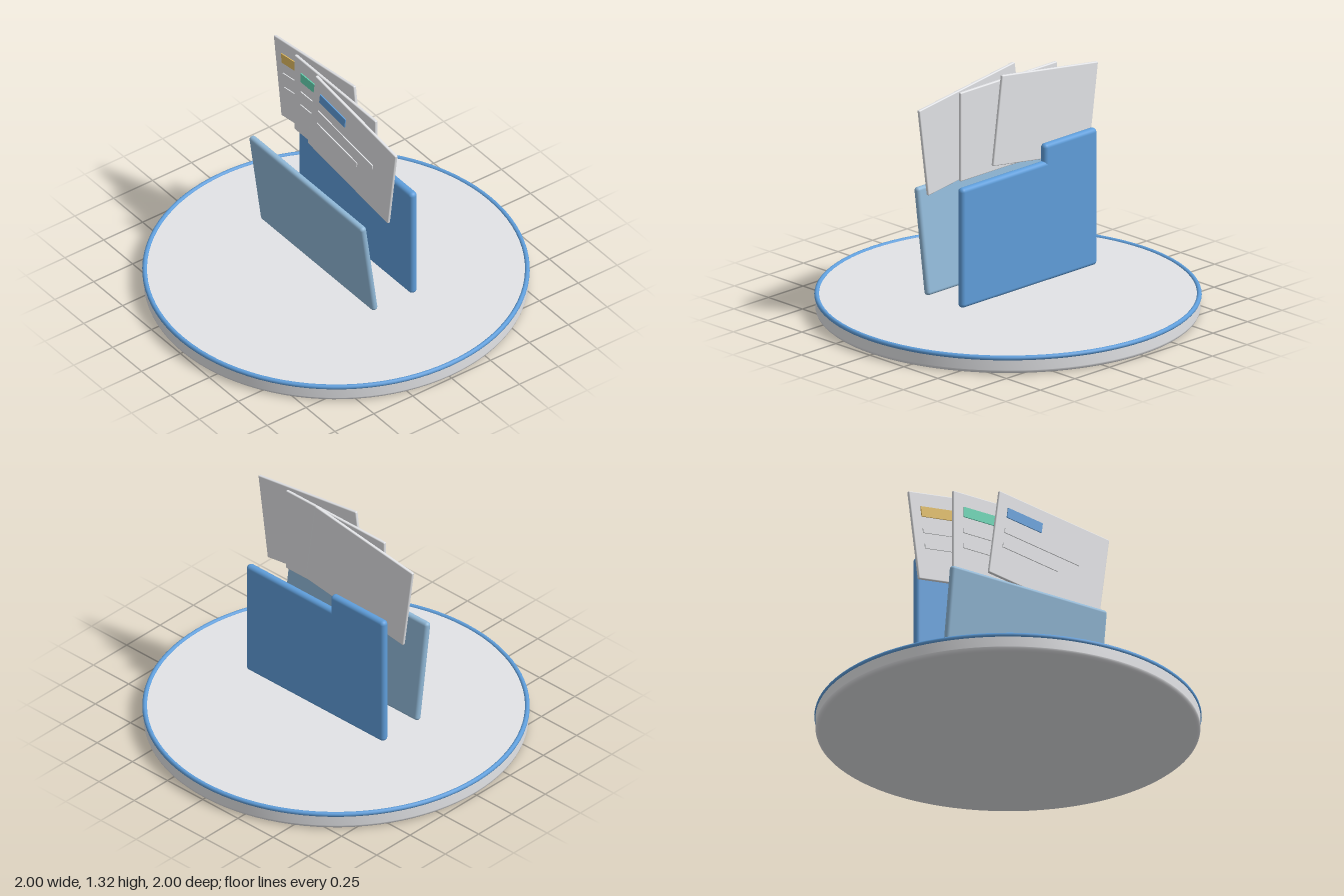
import * as THREE from 'three';
import { RoundedBoxGeometry } from 'three/addons/geometries/RoundedBoxGeometry.js';

const mat = (name, color) => {
  const m = new THREE.MeshStandardMaterial({ color });
  m.name = name;
  return m;
};

export function createModel() {
  const paper = mat('paperGrey', 0xe2e3e6);
  const blue = mat('folderBlue', 0x5f9edb);
  const paleBlue = mat('paleBlue', 0x91b9d8);
  const yellow = mat('labelYellow', 0xe3bd62);
  const green = mat('labelGreen', 0x66d6b4);

  const model = new THREE.Group();
  model.name = 'folderOnStand';

  const add = (parent, name, geometry, material, x, y, z) => {
    const mesh = new THREE.Mesh(geometry, material);
    mesh.name = name;
    mesh.position.set(x, y, z);
    parent.add(mesh);
    return mesh;
  };
  const slab = (w, h, d, r) => new RoundedBoxGeometry(w, h, d, 4, r);

  // Round stand: disc with softened edges and a blue rim
  const profile = [
    [0, 0], [0.974, 0], [0.976, 0], [0.984, 0.003], [0.991, 0.009], [0.994, 0.018],
    [0.994, 0.02], [0.994, 0.08], [0.993, 0.083], [0.988, 0.089], [0.982, 0.09], [0.98, 0.09], [0, 0.09],
  ].map(([x, y]) => new THREE.Vector2(x, y));
  add(model, 'standDisc', new THREE.LatheGeometry(profile, 96), paper, 0, 0, 0);
  const rim = add(model, 'standRim', new THREE.TorusGeometry(0.987, 0.013, 12, 96), blue, 0, 0.086, 0);
  rim.rotation.x = Math.PI / 2;

  // Folder: upright back with a tab, front leaning forward
  const folder = new THREE.Group();
  folder.name = 'folder';
  model.add(folder);
  add(folder, 'folderBack', slab(0.98, 0.655, 0.046, 0.022), blue, 0, 0.493, -0.142);
  add(folder, 'folderTab', slab(0.38, 0.15, 0.046, 0.022), blue, -0.3, 0.84, -0.142);
  const front = add(folder, 'folderFront', slab(0.98, 0.578, 0.038, 0.018), paleBlue, 0, 0.457, 0.145);
  front.rotation.x = 0.135;

  // Three fanned sheets, each with a coloured label and two text lines
  const sheets = [
    ['leftSheet', -0.217, 1.032, -0.05, 0.138, yellow],
    ['middleSheet', 0, 1.032, 0, 0, green],
    ['rightSheet', 0.217, 1.032, 0.054, -0.138, blue],
  ];
  for (const [name, x, y, z, turn, labelColour] of sheets) {
    const sheet = new THREE.Group();
    sheet.name = name;
    sheet.position.set(x, y, z);
    sheet.rotation.z = turn;
    model.add(sheet);
    add(sheet, 'page', slab(0.7, 0.485, 0.018, 0.006), paper, 0, 0, 0);
    add(sheet, 'label', new THREE.BoxGeometry(0.22, 0.056, 0.008), labelColour, -0.178, 0.135, 0.011);
    add(sheet, 'longLine', new THREE.BoxGeometry(0.475, 0.026, 0.008), paper, -0.053, 0.029, 0.011);
    add(sheet, 'shortLine', new THREE.BoxGeometry(0.35, 0.026, 0.008), paper, -0.115, -0.057, 0.011);
  }

  return model;
}
